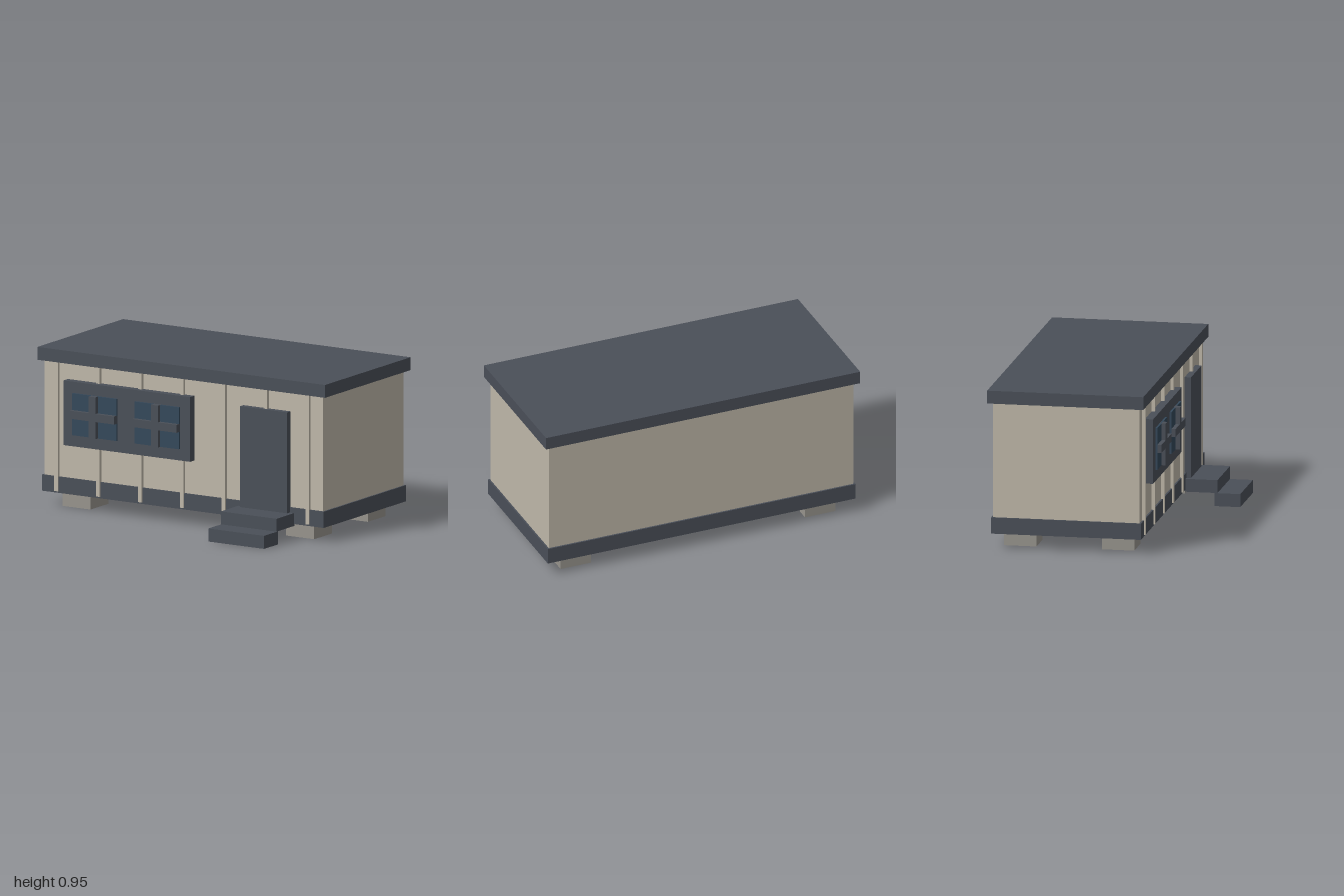
import * as THREE from 'three';

export function createModel() {
  const model = new THREE.Group();
  const mat = (color) => new THREE.MeshStandardMaterial({ color, flatShading: true });
  const dark = mat(0x4a4f58), beige = mat(0xbfb8a9), concrete = mat(0x97948d), blue = mat(0x34485a);

  // Box given by its extents along each axis
  function box(name, material, [x0, x1], [y0, y1], [z0, z1], parent = model) {
    const mesh = new THREE.Mesh(new THREE.BoxGeometry(x1 - x0, y1 - y0, z1 - z0), material);
    mesh.position.set((x0 + x1) / 2, (y0 + y1) / 2, (z0 + z1) / 2);
    mesh.name = name;
    parent.add(mesh);
    return mesh;
  }

  // Cabin body
  box('walls', beige, [-0.97, 0.97], [0.14, 0.91], [-0.59, 0.284]);
  box('baseFrame', dark, [-0.98, 0.98], [0.09, 0.187], [-0.6, 0.294]);
  box('roof', dark, [-1, 1], [0.875, 0.952], [-0.62, 0.312]);

  // Vertical cladding strips on the front
  for (let i = 0; i < 7; i++) {
    const x = -0.876 + i * 0.291;
    box('wallStrip', beige, [x - 0.0125, x + 0.0125], [0.1, 0.89], [0.275, 0.303]);
  }

  // Foundation blocks
  for (const x of [-0.778, 0.778]) {
    for (const z of [0.137, -0.447]) {
      box('foundationBlock', concrete, [x - 0.097, x + 0.097], [0, 0.091], [z - 0.097, z + 0.097]);
    }
  }

  // Window surround with two crossed windows
  box('windowSurround', dark, [-0.805, 0.075], [0.39, 0.777], [0.28, 0.333]);
  for (const x of [-0.583, -0.149]) {
    const win = new THREE.Group();
    win.name = 'window';
    model.add(win);
    box('glass', blue, [x - 0.154, x + 0.154], [0.459, 0.71], [0.32, 0.345], win);
    box('verticalBar', dark, [x - 0.024, x + 0.024], [0.459, 0.71], [0.325, 0.37], win);
    box('horizontalBar', dark, [x - 0.154, x + 0.154], [0.562, 0.61], [0.325, 0.3695], win);
  }

  // Door and entrance steps
  box('door', dark, [0.416, 0.744], [0.15, 0.76], [0.28, 0.322]);
  box('upperStep', dark, [0.387, 0.775], [0.079, 0.156], [0.292, 0.486]);
  box('lowerStep', dark, [0.387, 0.775], [0, 0.078], [0.468, 0.622]);

  return model;
}
